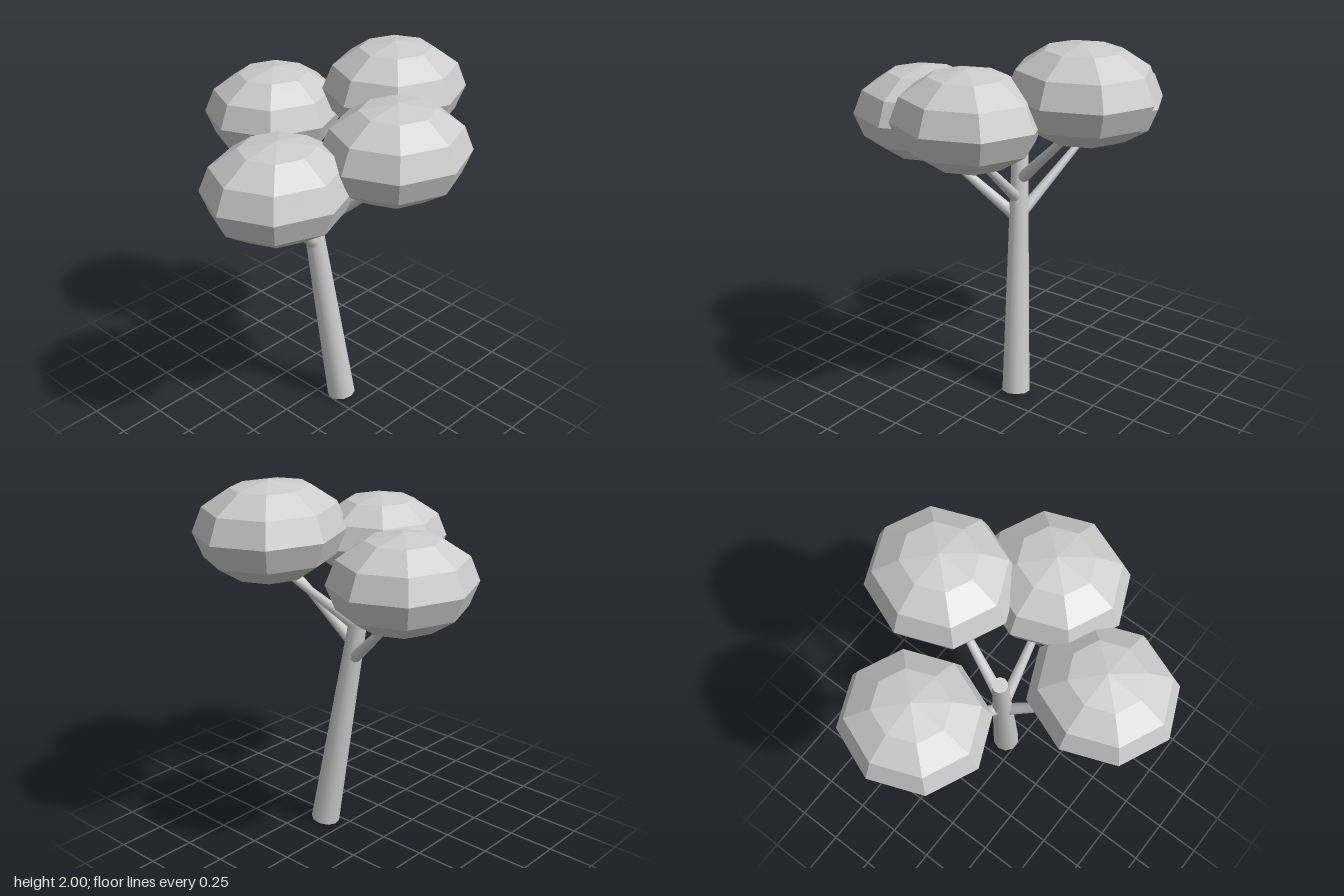
import * as THREE from 'three';

const barkMaterial = new THREE.MeshStandardMaterial({ color: 0xcccccc });
const leafMaterial = new THREE.MeshStandardMaterial({ color: 0xcccccc, flatShading: true });

// Tapered round limb running from one point to another
function limb(name, from, to, rFrom, rTo, sides) {
  const a = new THREE.Vector3(...from);
  const b = new THREE.Vector3(...to);
  const dir = b.clone().sub(a);
  const mesh = new THREE.Mesh(
    new THREE.CylinderGeometry(rTo, rFrom, dir.length(), sides), barkMaterial);
  mesh.name = name;
  mesh.position.copy(a).lerp(b, 0.5);
  mesh.quaternion.setFromUnitVectors(new THREE.Vector3(0, 1, 0), dir.normalize());
  return mesh;
}

// Each crown: its centre and where its branch leaves the trunk
const crowns = [
  { side: 'right', centre: [-0.46, 1.525, 0.188], root: [-0.035, 0.99, 0.0] },
  { side: 'front', centre: [0.05, 1.642, 0.473], root: [-0.01, 1.1, 0.015] },
  { side: 'left', centre: [0.455, 1.755, 0.11], root: [0.015, 1.2, -0.025] },
  { side: 'back', centre: [0.16, 1.545, -0.48], root: [0.01, 1.01, -0.045] },
];

export function createModel() {
  const tree = new THREE.Group();
  tree.name = 'tree';

  // Leaning trunk
  tree.add(limb('trunk', [0.072, 0.01, 0.12], [-0.045, 1.53, -0.085], 0.078, 0.04, 10));

  // Branches ending inside flattened, faceted crowns
  const crownGeometry = new THREE.SphereGeometry(1, 8, 6);
  for (const { side, centre, root } of crowns) {
    const [x, y, z] = centre;
    tree.add(limb(side + 'Branch', root, [x, y - 0.15, z], 0.032, 0.015, 8));

    const crown = new THREE.Mesh(crownGeometry, leafMaterial);
    crown.name = side + 'Crown';
    crown.position.set(x, y, z);
    crown.scale.set(0.385, 0.246, 0.358);
    tree.add(crown);
  }
  return tree;
}
